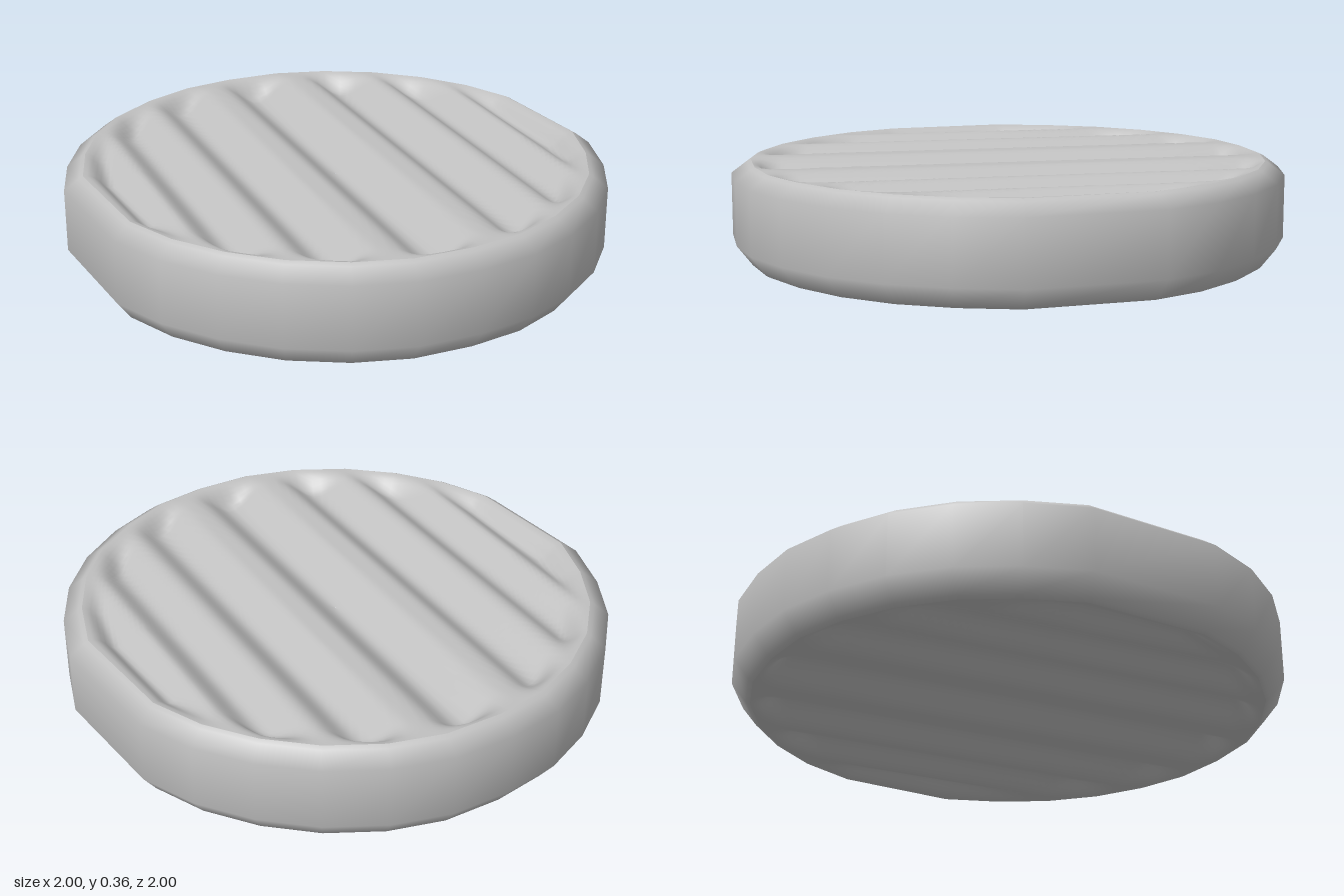
import * as THREE from 'three';

// Half of the outline (x, z); the other half is its point reflection.
const HALF = [[0.38, -0.92], [0.77, -0.63], [0.89, -0.43], [0.97, -0.22], [1, 0], [0.98, 0.22], [0.92, 0.42],
  [0.81, 0.6], [0.66, 0.77], [0.48, 0.89], [0.27, 0.97], [0.05, 1], [-0.17, 0.985]];
const OUTLINE = [...HALF, ...HALF.map(([x, z]) => [-x, -z])];
const GROOVES = [-0.82, -0.6, -0.34, 0, 0.34, 0.6, 0.82];
const ANGLE = THREE.MathUtils.degToRad(42);
const TOP = 0.36, INNER = 0.93;

// Depth of the parallel grooves at a point, fading out next to the rim.
function grooveDepth(x, z, s) {
  const u = x * Math.sin(ANGLE) - z * Math.cos(ANGLE);
  let depth = 0;
  for (const g of GROOVES) {
    const half = 0.15 - 0.05 * Math.abs(g);
    const t = Math.max(0, 1 - Math.abs(u - g) / half);
    depth = Math.max(depth, (0.08 - 0.03 * Math.abs(g)) * t * t * (3 - 2 * t));
  }
  return depth * (1 - THREE.MathUtils.smoothstep(s, 0.83, INNER));
}

// Joins rings of equal length into a smooth surface.
function skin(rings, flip) {
  const n = rings[0].length, index = [];
  for (let r = 0; r < rings.length - 1; r++) {
    for (let i = 0; i < n; i++) {
      const a = r * n + i, b = r * n + (i + 1) % n, c = a + n, d = b + n;
      if (flip) index.push(a, b, c, b, d, c);
      else index.push(a, c, b, b, c, d);
    }
  }
  const geo = new THREE.BufferGeometry();
  geo.setAttribute('position', new THREE.Float32BufferAttribute(rings.flat(2), 3));
  geo.setIndex(index);
  geo.computeVertexNormals();
  return geo;
}

// Grooved face made of concentric copies of the subdivided outline.
function faceGeometry(isTop) {
  const STEPS = 6, RINGS = 60, fine = [], rings = [];
  OUTLINE.forEach(([x, z], i) => {
    const [nx, nz] = OUTLINE[(i + 1) % OUTLINE.length];
    for (let k = 0; k < STEPS; k++) fine.push([x + (nx - x) * k / STEPS, z + (nz - z) * k / STEPS]);
  });
  for (let r = 0; r <= RINGS; r++) {
    const s = Math.max(0.001, INNER * r / RINGS);
    rings.push(fine.map(([x, z]) => {
      const d = grooveDepth(x * s, z * s, s);
      return [x * s, isTop ? TOP - d : d, z * s];
    }));
  }
  return skin(rings, isTop);
}

export function createModel() {
  const group = new THREE.Group();
  group.name = 'ridgedDisc';
  const grey = new THREE.MeshStandardMaterial({ color: 0xc0c0c0 });
  grey.name = 'grey';
  const add = (geo, name) => {
    const mesh = new THREE.Mesh(geo, grey);
    mesh.name = name;
    group.add(mesh);
  };

  // Rounded side wall with bevelled edges
  const profile = [[INNER, 0], [0.945, 0.008], [1, 0.08], [1, 0.31], [0.945, 0.352], [INNER, TOP]];
  add(skin(profile.map(([s, y]) => OUTLINE.map(([x, z]) => [x * s, y, z * s])), false), 'sideWall');

  // Grooved faces
  add(faceGeometry(true), 'topFace');
  add(faceGeometry(false), 'bottomFace');
  return group;
}
